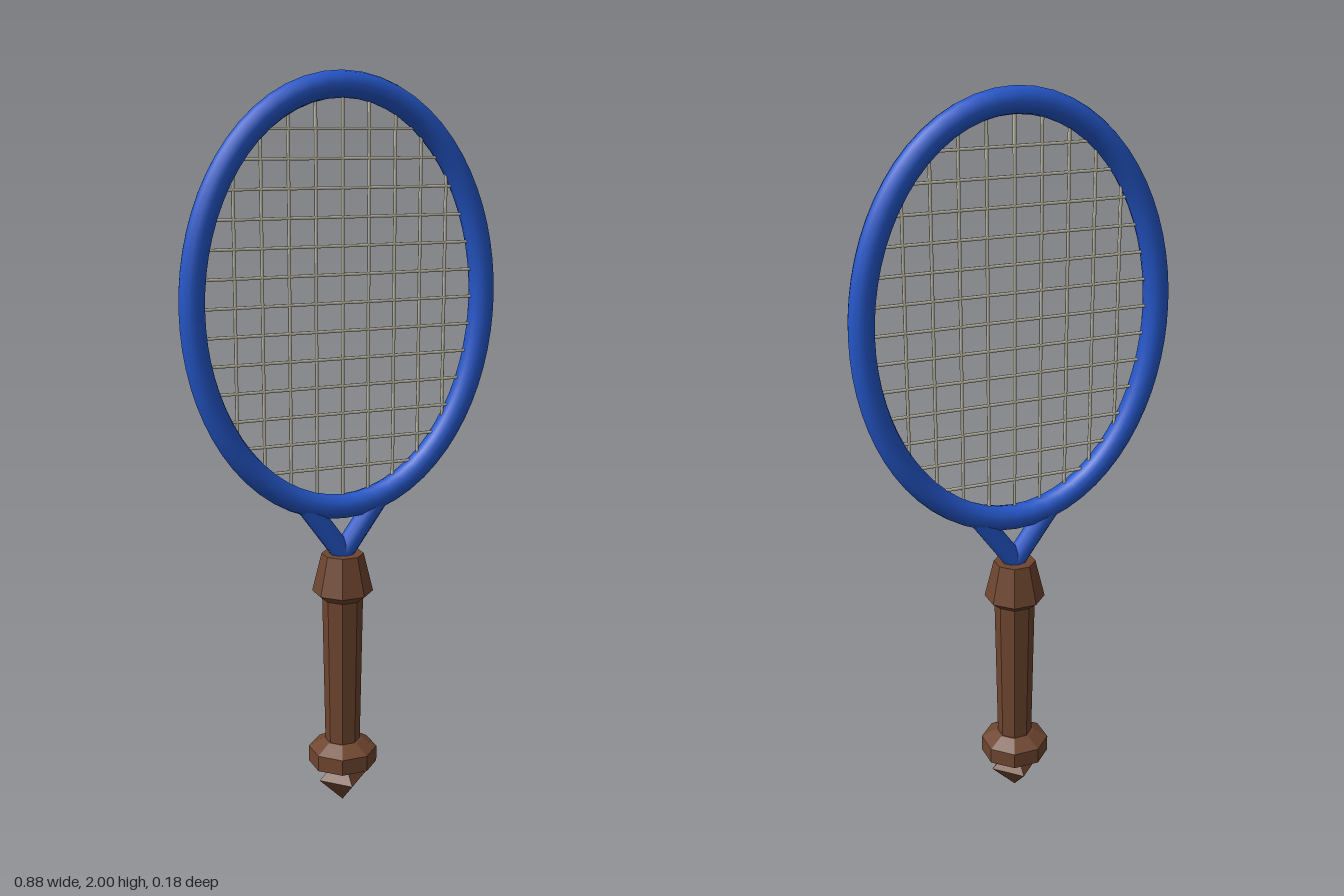
import * as THREE from 'three';

export function createModel() {
  const model = new THREE.Group();
  const mat = (name, color, flatShading = false) => {
    const m = new THREE.MeshStandardMaterial({ color, flatShading });
    m.name = name;
    return m;
  };
  const blue = mat('frameBlue', 0x2456c8);
  const brown = mat('gripBrown', 0x6e452f, true);
  const pale = mat('stringPale', 0xc4c1ae);

  const add = (name, geometry, material, parent = model) => {
    const mesh = new THREE.Mesh(geometry, material);
    mesh.name = name;
    parent.add(mesh);
    return mesh;
  };

  // Rod between two points
  const up = new THREE.Vector3(0, 1, 0);
  const rod = (name, a, b, radius, sides, material, parent) => {
    const dir = b.clone().sub(a);
    const mesh = add(name, new THREE.CylinderGeometry(radius, radius, dir.length(), sides), material, parent);
    mesh.position.copy(a).add(b).multiplyScalar(0.5);
    mesh.quaternion.setFromUnitVectors(up, dir.normalize());
    return mesh;
  };

  // Oval hoop: a round tube swept along an ellipse
  const CY = 1.417, RX = 0.406, RY = 0.549, TUBE = 0.034;
  class Oval extends THREE.Curve {
    getPoint(t, target = new THREE.Vector3()) {
      const a = t * Math.PI * 2;
      return target.set(RX * Math.cos(a), CY + RY * Math.sin(a), 0);
    }
  }
  add('hoop', new THREE.TubeGeometry(new Oval(), 64, TUBE, 12, true), blue);

  // String bed, each string ending inside the hoop
  const strings = new THREE.Group();
  strings.name = 'strings';
  model.add(strings);
  const STEP = 0.0733, R = 0.0045;
  for (let i = -4; i <= 4; i++) {
    const x = i * STEP;
    const h = RY * Math.sqrt(1 - (x / RX) ** 2);
    rod('mainString', new THREE.Vector3(x, CY - h, 0), new THREE.Vector3(x, CY + h, 0), R, 6, pale, strings);
  }
  for (let i = -6; i <= 6; i++) {
    const y = i * STEP;
    const w = RX * Math.sqrt(1 - (y / RY) ** 2);
    rod('crossString', new THREE.Vector3(-w, CY + y, 0), new THREE.Vector3(w, CY + y, 0), R, 6, pale, strings);
  }

  // Forked throat
  for (const s of [-1, 1]) {
    rod('throatBar', new THREE.Vector3(-s * 0.008, 0.725, 0), new THREE.Vector3(s * 0.1, 0.875, 0), 0.029, 10, blue);
  }

  // Eight-sided turned parts; profile gives [half width across flats, height]
  const turned = (name, profile) => {
    const k = 1 / Math.cos(Math.PI / 8);
    const points = profile.map(([r, y]) => new THREE.Vector2(r * k, y));
    add(name, new THREE.LatheGeometry(points, 8, Math.PI / 8), brown);
  };
  turned('collar', [[0, 0.605], [0.05, 0.605], [0.077, 0.628], [0.053, 0.735], [0, 0.735]]);
  turned('grip', [[0, 0.15], [0.044, 0.15], [0.052, 0.62], [0, 0.62]]);
  turned('pommel', [[0, 0.1], [0.05, 0.1], [0.088, 0.12], [0.088, 0.165], [0.05, 0.19], [0, 0.19]]);

  // Pointed butt end
  add('pommelTip', new THREE.OctahedronGeometry(0.07), brown).position.y = 0.07;

  return model;
}
